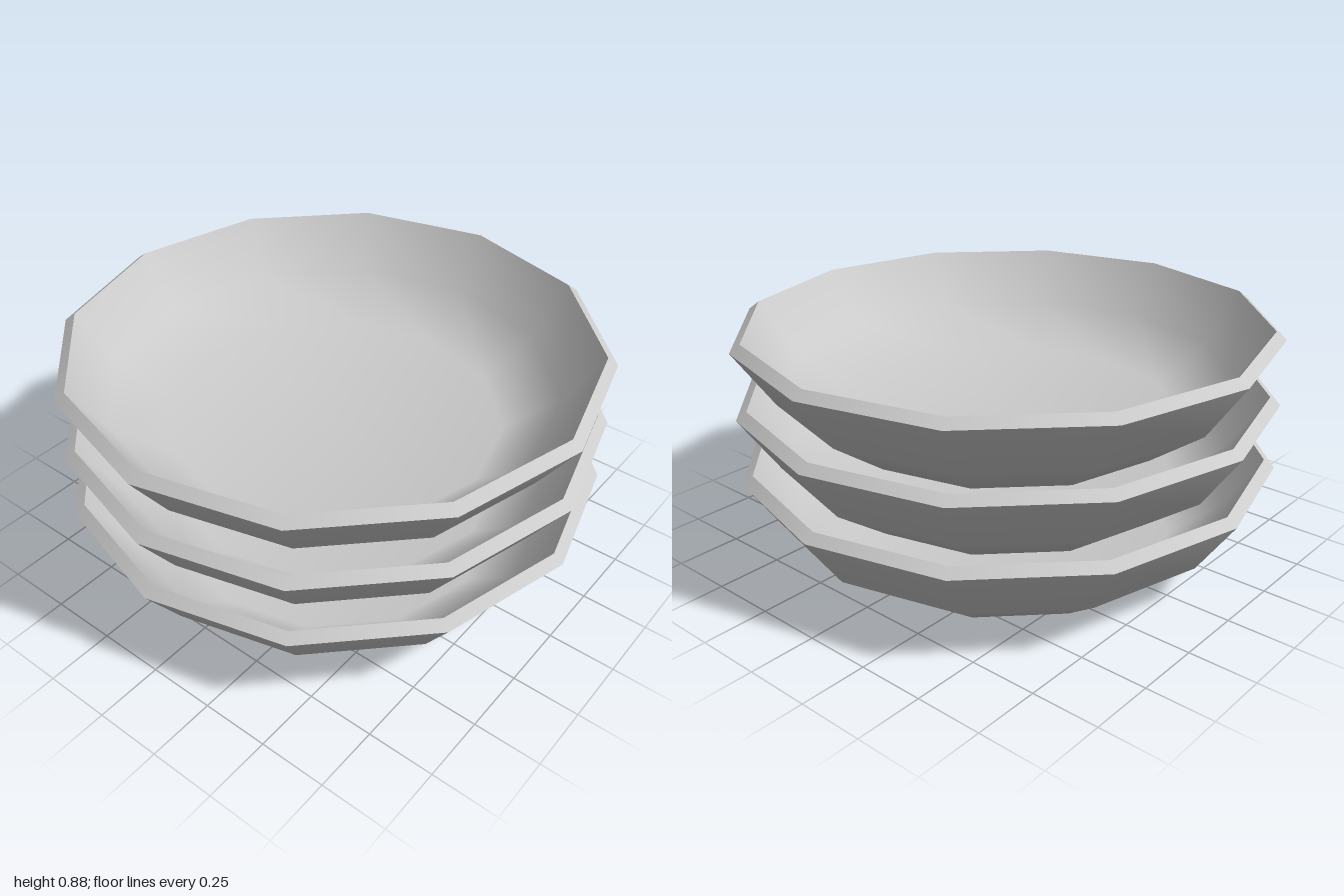
import * as THREE from 'three';
import { mergeGeometries } from 'three/addons/utils/BufferGeometryUtils.js';

const SIDES = 12;
const BOWLS = 3;
const SPACING = 0.248;

// Separate lathes keep the rim edges sharp while the walls stay smooth
const profiles = [
  [[0, 0], [0.645, 0], [0.855, 0.15], [1, 0.358]],              // outside
  [[1, 0.358], [0.962, 0.387]],                                 // rim
  [[0.962, 0.387], [0.825, 0.19], [0.63, 0.045], [0, 0.045]],   // inside
];

function bowlGeometry() {
  return mergeGeometries(profiles.map((profile) =>
    new THREE.LatheGeometry(profile.map(([r, y]) => new THREE.Vector2(r, y)), SIDES)));
}

export function createModel() {
  const group = new THREE.Group();
  group.name = 'bowlStack';
  const geometry = bowlGeometry();
  const material = new THREE.MeshStandardMaterial({ color: 0xcccccc });

  // Identical bowls nested one above another
  for (let i = 0; i < BOWLS; i++) {
    const bowl = new THREE.Mesh(geometry, material);
    bowl.name = `bowl${i + 1}`;
    bowl.position.y = i * SPACING;
    group.add(bowl);
  }
  return group;
}
